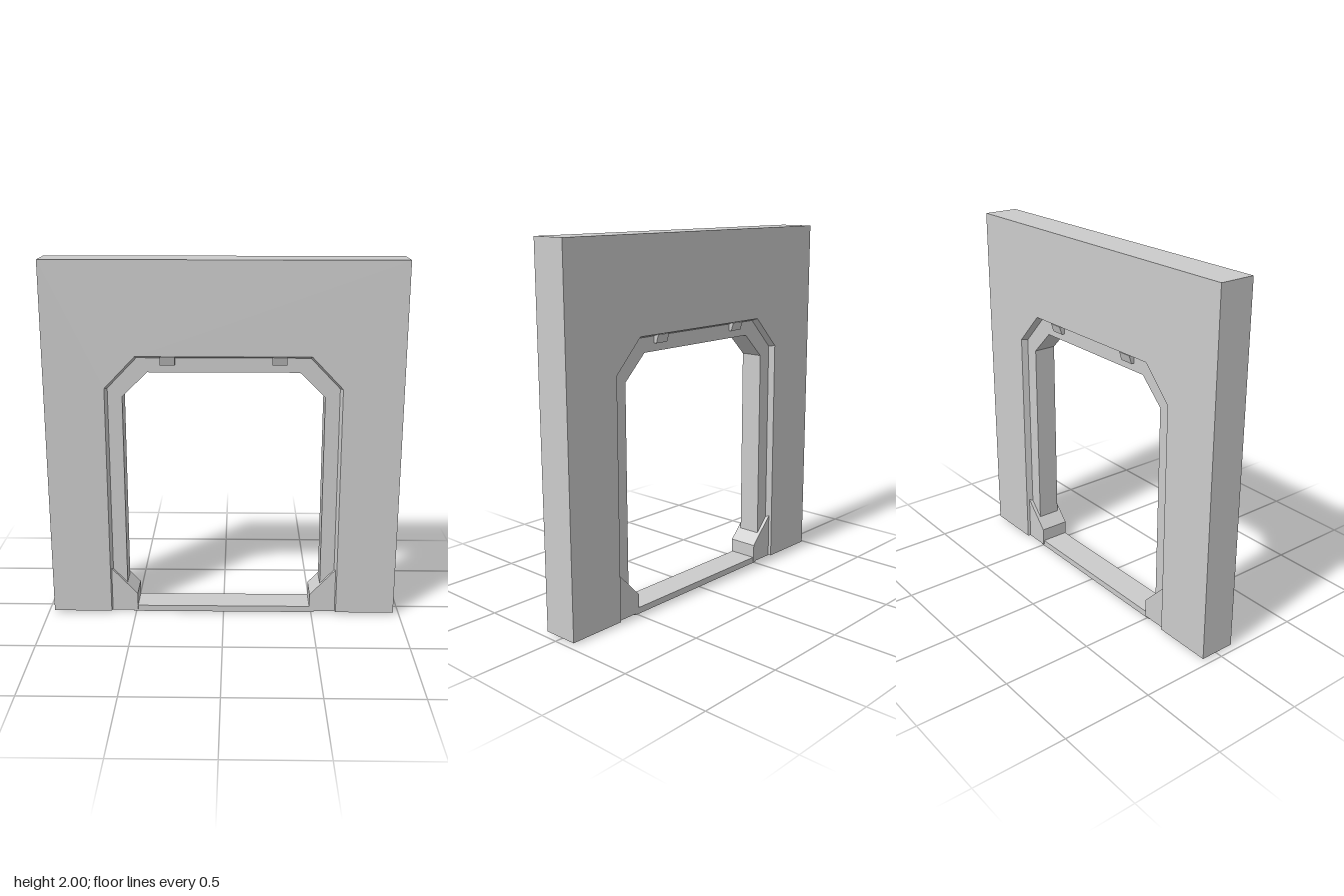
import * as THREE from 'three';

const HALF_DEPTH = 0.1, RECESS_Z = 0.065, BASE = 0.01;

// Chamfered arch outline, from bottom left over the top to bottom right
const arch = (halfW, shoulderY, topHalfW, topY) => [
  [-halfW, BASE], [-halfW, shoulderY], [-topHalfW, topY],
  [topHalfW, topY], [halfW, shoulderY], [halfW, BASE],
];
const atZ = (pts, z) => pts.map(([x, y]) => new THREE.Vector3(x, y, z));

// Flat-sided strip joining two outlines with the same number of points
function strip(a, b) {
  const pts = [];
  for (let i = 0; i < a.length - 1; i++) {
    pts.push(a[i], a[i + 1], b[i], a[i + 1], b[i + 1], b[i]);
  }
  const geo = new THREE.BufferGeometry().setFromPoints(pts);
  geo.computeVertexNormals();
  return geo;
}

const toShape = (pts) => new THREE.Shape(pts.map(([x, y]) => new THREE.Vector2(x, y)));

// Extrusion centred on z = 0
function slab(pts, depth) {
  const geo = new THREE.ExtrudeGeometry(toShape(pts), { depth, bevelEnabled: false });
  return geo.translate(0, 0, -depth / 2);
}

export function createModel() {
  const model = new THREE.Group();
  model.name = 'doorwayWall';
  const material = new THREE.MeshStandardMaterial({
    color: 0xcccccc, flatShading: true, side: THREE.DoubleSide,
  });
  const add = (name, geo, parent = model) => {
    const mesh = new THREE.Mesh(geo, material);
    mesh.name = name;
    parent.add(mesh);
    return mesh;
  };

  const outer = [[-0.967, BASE], [-0.967, 2], [0.967, 2], [0.967, BASE]];
  const opening = arch(0.64, 1.317, 0.472, 1.492);
  const recess = arch(0.627, 1.312, 0.466, 1.479);
  const passage = arch(0.548, 1.265, 0.41, 1.4);

  // Outer sides and top; the underside of the wall is open
  add('wallEdges', strip(atZ(outer, HALF_DEPTH), atZ(outer, -HALF_DEPTH)));

  // Inner lining of the doorway
  add('doorwayLining', strip(atZ(passage, -RECESS_Z), atZ(passage, RECESS_Z)));

  // Both faces are alike, the back one turned half round
  for (const [label, turn] of [['front', 0], ['back', Math.PI]]) {
    const face = new THREE.Group();
    face.name = `${label}Face`;
    face.rotation.y = turn;
    model.add(face);

    const wall = new THREE.ShapeGeometry(toShape([...outer, ...[...opening].reverse()]));
    add(`${label}Wall`, wall.translate(0, 0, HALF_DEPTH), face);

    // Stepped recess around the doorway
    add(`${label}RecessEdge`, strip(atZ(recess, RECESS_Z), atZ(opening, HALF_DEPTH)), face);
    add(`${label}Frame`, strip(atZ(passage, RECESS_Z), atZ(recess, RECESS_Z)), face);

    // Wedge clips under the recess top, thinner at the bottom
    for (const x of [-0.3, 0.3]) {
      const clip = slab([
        [RECESS_Z - 0.005, 1.442], [0.082, 1.442], [0.097, 1.488], [RECESS_Z - 0.005, 1.488],
      ], 0.08);
      clip.rotateY(-Math.PI / 2).translate(x, 0, 0);
      add(`${label}Clip`, clip, face);
    }
  }

  // Sloped foot brackets at the bottom corners
  for (const [name, s] of [['leftBracket', 1], ['rightBracket', -1]]) {
    const outline = [[0.636, BASE], [0.636, 0.267], [0.49, 0.112], [0.49, BASE]];
    add(name, slab(outline.map(([x, y]) => [s * x, y]), 0.17));
  }

  // Threshold bar across the floor
  add('threshold', new THREE.BoxGeometry(1.03, 0.035, 0.16).translate(0, 0.0175, 0));

  return model;
}
